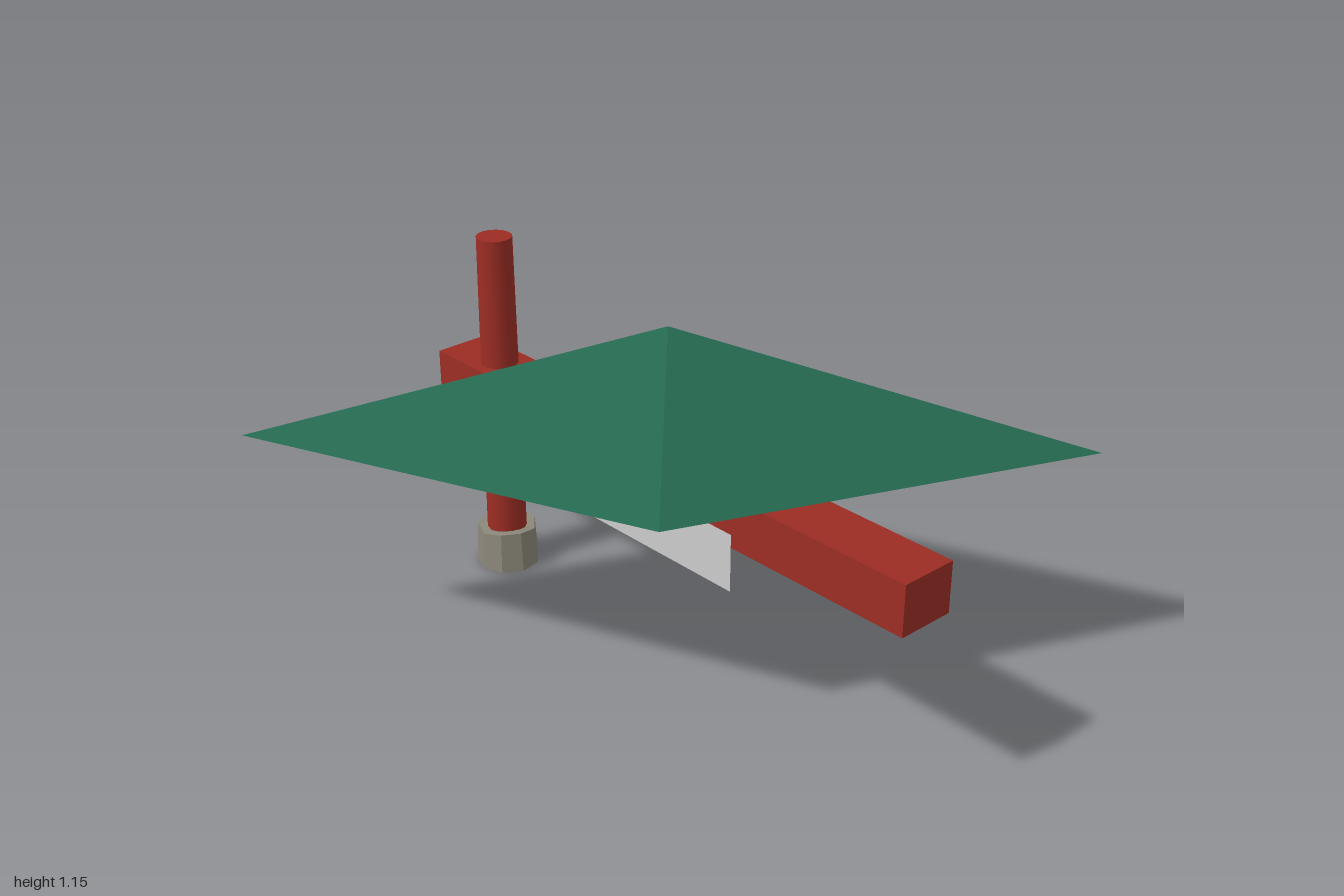
import * as THREE from 'three';

const paint = (name, color, side = THREE.FrontSide, flatShading = false) => {
  const m = new THREE.MeshStandardMaterial({ color, side, flatShading });
  m.name = name;
  return m;
};

export function createModel() {
  const group = new THREE.Group();
  const red = paint('red wood', 0x9c2d24);
  const green = paint('green roof', 0x24694f, THREE.FrontSide, true);
  const stone = paint('grey stone', 0x8c877a, THREE.FrontSide, true);
  const board = paint('pale board', 0xcccccc, THREE.DoubleSide);

  const add = (name, geometry, material, x, y, z) => {
    const mesh = new THREE.Mesh(geometry, material);
    mesh.name = name;
    mesh.position.set(x, y, z);
    group.add(mesh);
    return mesh;
  };

  // Crossbeam
  add('beam', new THREE.BoxGeometry(2, 0.16, 0.185), red, 0, 0.645, 0);

  // Tapered round post, standing just clear of the footing's underside
  add('post', new THREE.CylinderGeometry(0.057, 0.067, 1.145, 16), red, -0.8, 0.5775, 0);

  // Rough stone footing: the rim is slightly uneven
  const footing = new THREE.CylinderGeometry(0.097, 0.105, 0.135, 9);
  const p = footing.attributes.position;
  for (let i = 0; i < p.count; i++) {
    const x = p.getX(i), z = p.getZ(i);
    if (p.getY(i) > 0 && Math.hypot(x, z) > 0.01) {
      p.setY(i, p.getY(i) + 0.006 * Math.sin(3 * Math.atan2(z, x)));
    }
  }
  add('footing', footing, stone, -0.8, 0.0675, 0);

  // Diamond-shaped pyramid roof, long diagonal from back left to front right
  const roof = new THREE.ConeGeometry(1, 0.373, 4);
  roof.scale(1.259, 1, 0.526);
  roof.rotateY(Math.PI / 4);
  add('roof', roof, green, 0, 0.725 + 0.1865, 0);

  // Thin boards hanging on both sides of the beam
  for (const side of [1, -1]) {
    const sign = add(side > 0 ? 'frontBoard' : 'backBoard',
      new THREE.PlaneGeometry(0.735, 0.185), board, 0, 0.5175, side * 0.097);
    if (side < 0) sign.rotation.y = Math.PI;
  }
  return group;
}
